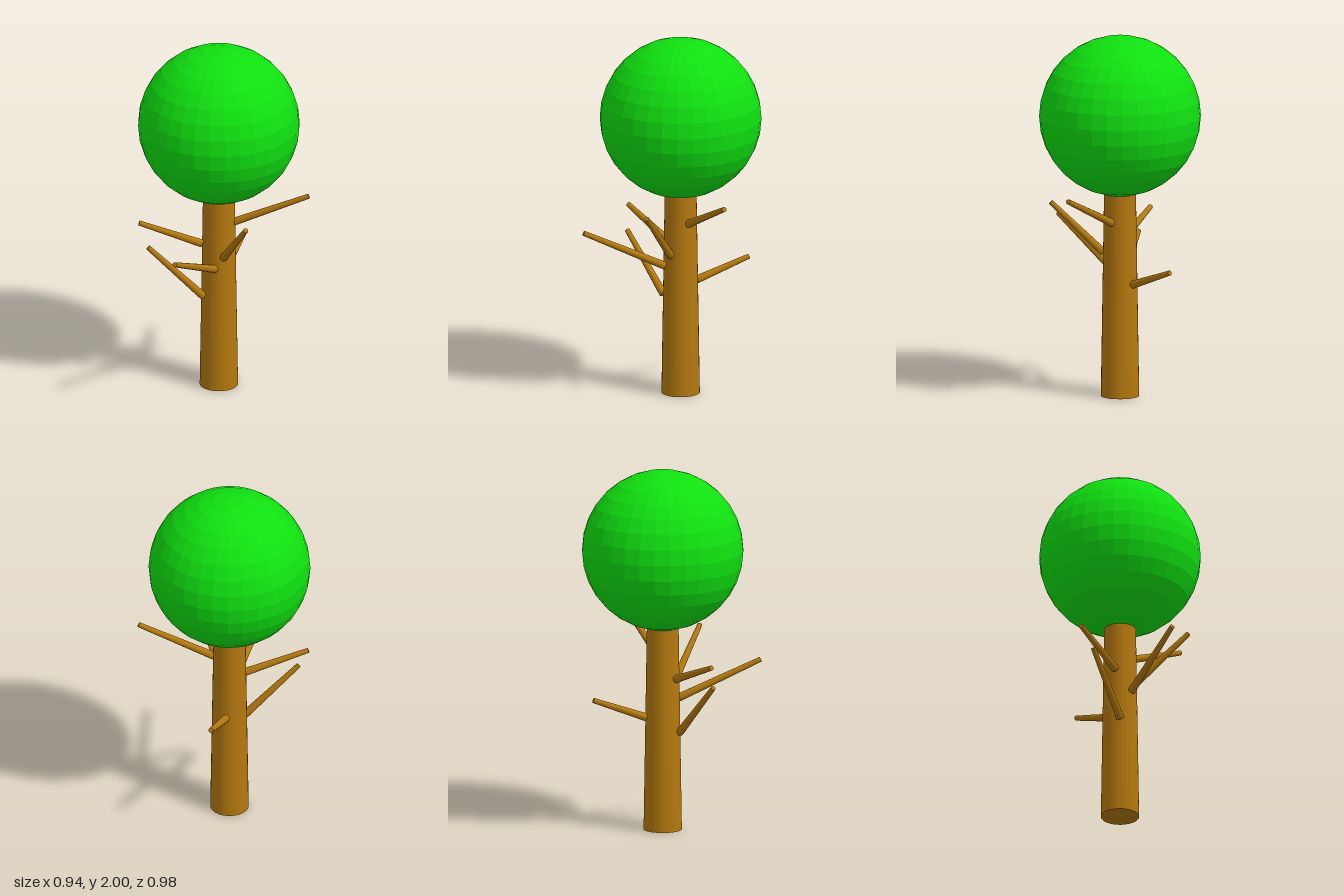
import * as THREE from 'three';

const leafGreen = new THREE.MeshStandardMaterial({ color: 0x10e010, flatShading: true });
leafGreen.name = 'leafGreen';
const barkBrown = new THREE.MeshStandardMaterial({ color: 0xb4780f, flatShading: true });
barkBrown.name = 'barkBrown';

const AXIS_X = -0.027;
const AXIS_Z = -0.047;

// Tapered cylinder running from a base point to a tip point
function taperedLimb(name, base, tip, baseRadius, tipRadius, sides) {
  const start = new THREE.Vector3(...base);
  const end = new THREE.Vector3(...tip);
  const direction = end.clone().sub(start);
  const geometry = new THREE.CylinderGeometry(tipRadius, baseRadius, direction.length(), sides);
  const limb = new THREE.Mesh(geometry, barkBrown);
  limb.name = name;
  limb.position.copy(start).add(end).multiplyScalar(0.5);
  limb.quaternion.setFromUnitVectors(new THREE.Vector3(0, 1, 0), direction.normalize());
  return limb;
}

export function createModel() {
  const tree = new THREE.Group();
  tree.name = 'tree';

  // Trunk, reaching just into the crown
  tree.add(taperedLimb('trunk', [AXIS_X, 0, AXIS_Z], [AXIS_X, 1.14, AXIS_Z], 0.105, 0.087, 32));

  // Round crown
  const crown = new THREE.Mesh(new THREE.SphereGeometry(0.442, 32, 16), leafGreen);
  crown.name = 'crown';
  crown.position.set(AXIS_X, 1.558, AXIS_Z);
  tree.add(crown);

  // Bare branches: base on the trunk surface, then tip
  const branches = [
    ['upperLeftBranch', [0.055, 0.975, -0.062], [0.465, 1.16, -0.12]],
    ['frontLeftBranch', [0.025, 0.795, 0.03], [0.22, 1.075, 0.24]],
    ['frontBranch', [-0.022, 0.727, 0.046], [-0.107, 0.932, 0.488]],
    ['upperRightBranch', [-0.105, 0.85, 0.005], [-0.435, 0.972, 0.107]],
    ['lowerRightBranch', [-0.09, 0.547, 0.03], [-0.373, 0.846, 0.137]],
    ['backBranch', [-0.027, 0.63, -0.142], [-0.008, 0.738, -0.437]],
  ];
  for (const [name, base, tip] of branches) {
    tree.add(taperedLimb(name, base, tip, 0.022, 0.014, 12));
  }
  return tree;
}
